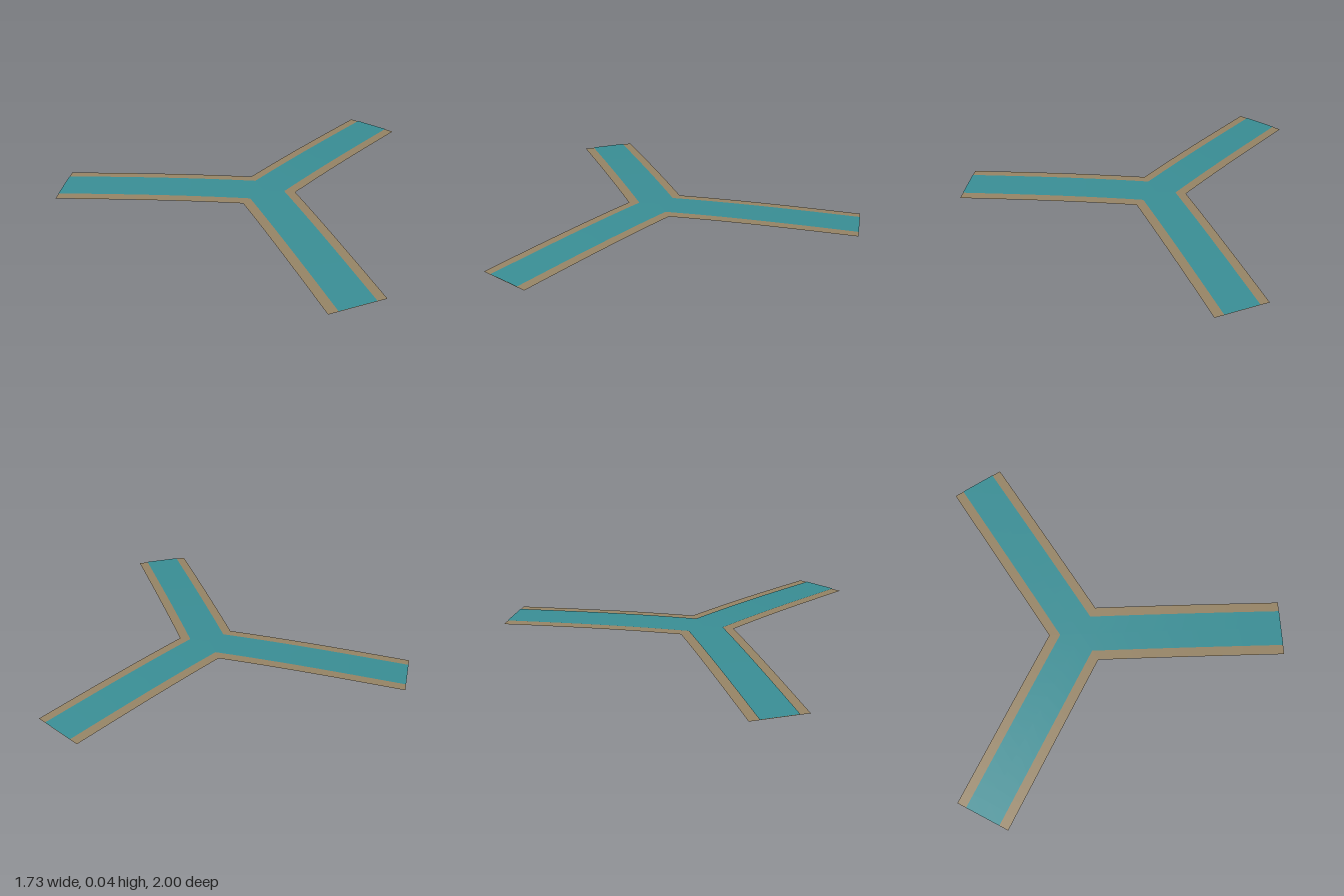
import * as THREE from 'three';

const LENGTH = 1.07;   // arm length from the junction
const CREST = 0.032;   // height of the bank sheet at the junction
const STEPS = 14;

// One arm along +x: a strip that arches down to the ground and whose
// inner end is mitred to meet its two neighbours at 120 degrees.
function armGeometry(halfWidth, lift) {
  const sides = [-halfWidth, 0, halfWidth];
  const pos = [], index = [];
  for (let i = 0; i <= STEPS; i++) {
    for (const s of sides) {
      const start = Math.abs(s) / Math.sqrt(3);
      const x = start + (LENGTH - start) * i / STEPS;
      pos.push(x, CREST * Math.cos((x / LENGTH) * Math.PI / 2) + lift, s);
    }
  }
  for (let i = 0; i < STEPS; i++) {
    for (let j = 0; j < 2; j++) {
      const a = i * 3 + j, b = a + 3;
      index.push(a, a + 1, b, a + 1, b + 1, b);
    }
  }
  const geo = new THREE.BufferGeometry();
  geo.setAttribute('position', new THREE.Float32BufferAttribute(pos, 3));
  geo.setIndex(index);
  geo.computeVertexNormals();
  return geo;
}

export function createModel() {
  const bankBrown = new THREE.MeshStandardMaterial({ color: 0x978566, side: THREE.DoubleSide });
  bankBrown.name = 'bankBrown';
  const waterTeal = new THREE.MeshStandardMaterial({ color: 0x3a8f96 });
  waterTeal.name = 'waterTeal';

  const bankGeo = armGeometry(0.145, 0);
  const waterGeo = armGeometry(0.095, 0.003);

  const model = new THREE.Group();
  model.name = 'riverFork';

  // three equal arms around the junction
  for (let k = 0; k < 3; k++) {
    const arm = new THREE.Group();
    arm.name = 'riverArm' + (k + 1);
    const bank = new THREE.Mesh(bankGeo, bankBrown);
    bank.name = 'bank';
    const water = new THREE.Mesh(waterGeo, waterTeal);
    water.name = 'water';
    arm.add(bank, water);
    arm.rotation.y = k * Math.PI * 2 / 3;
    arm.position.x = -0.204;
    model.add(arm);
  }
  return model;
}
